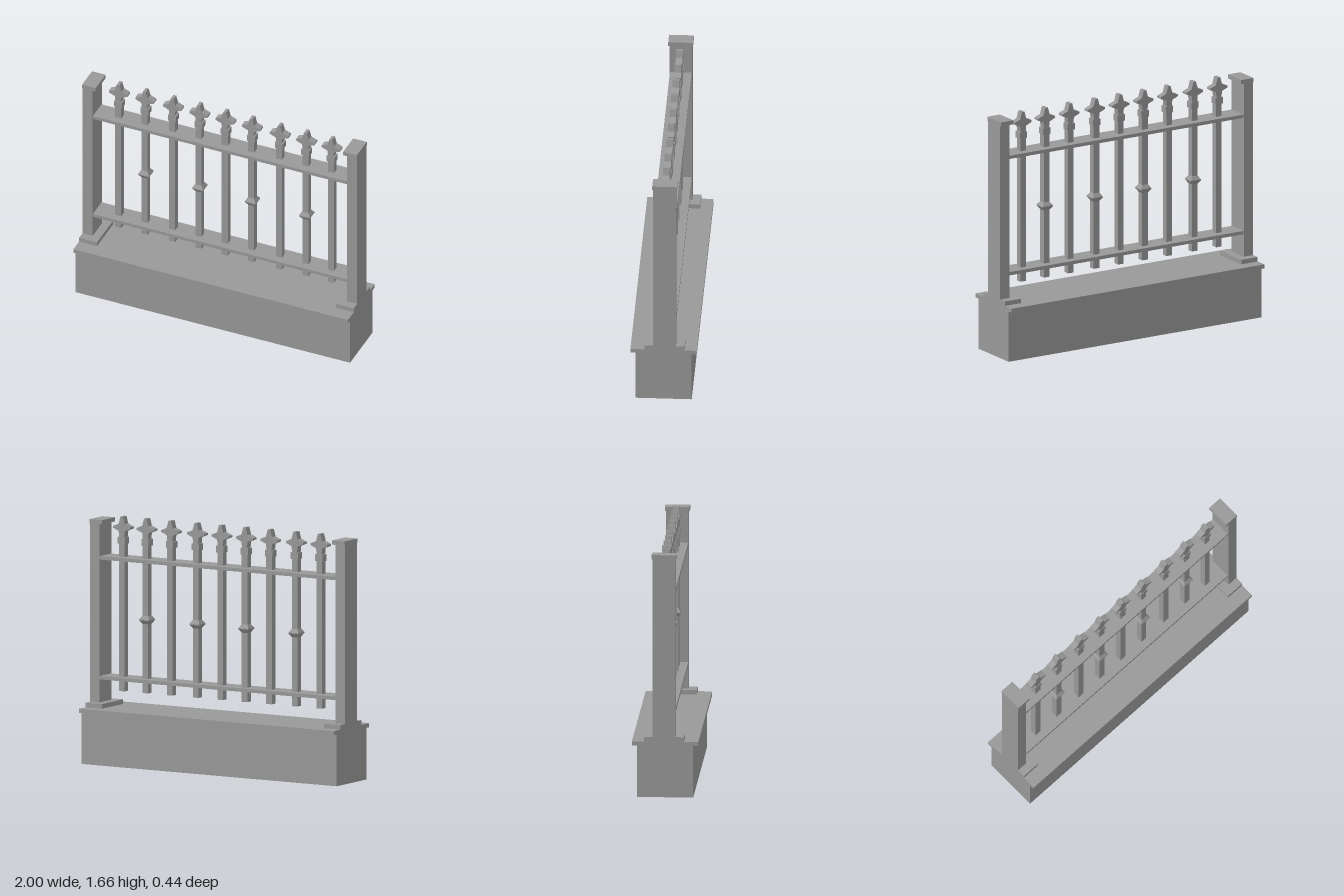
import * as THREE from 'three';

const material = new THREE.MeshStandardMaterial({ color: 0x999999, flatShading: true });
const openMaterial = new THREE.MeshStandardMaterial({ color: 0x999999, flatShading: true, side: THREE.DoubleSide });

function add(parent, name, geometry, mat = material) {
  const mesh = new THREE.Mesh(geometry, mat);
  mesh.name = name;
  parent.add(mesh);
  return mesh;
}

// Box given by its limits in x and y, and its half depth in z
function box(parent, name, x0, x1, y0, y1, halfDepth) {
  const mesh = add(parent, name, new THREE.BoxGeometry(x1 - x0, y1 - y0, halfDepth * 2));
  mesh.position.set((x0 + x1) / 2, (y0 + y1) / 2, 0);
  return mesh;
}

// Four-pointed finial with blunt tips, mirrored from its right half
function finialGeometry() {
  const half = [[0.018, 1.515], [0.024, 1.566], [0.067, 1.584], [0.067, 1.597], [0.024, 1.614], [0.01, 1.664]];
  const left = half.map(([x, y]) => [-x, y]).reverse();
  const shape = new THREE.Shape([...half, ...left].map(([x, y]) => new THREE.Vector2(x, y)));
  return new THREE.ExtrudeGeometry(shape, { depth: 0.046, bevelEnabled: false }).translate(0, 0, -0.023);
}

// Square knob with a thin rim around the middle of a picket
function knobGeometry() {
  const profile = [[0.022, 0.953], [0.039, 0.978], [0.039, 0.985], [0.022, 1.01]];
  const points = profile.map(([r, y]) => new THREE.Vector2(r * Math.SQRT2, y));
  return new THREE.LatheGeometry(points, 4).rotateY(Math.PI / 4);
}

export function createModel() {
  const model = new THREE.Group();
  model.name = 'fenceSection';

  // Plinth: four walls open underneath, covered by a slab
  const walls = new THREE.CylinderGeometry(Math.SQRT1_2, Math.SQRT1_2, 1, 4, 1, true).rotateY(Math.PI / 4);
  const plinth = add(model, 'plinthWalls', walls, openMaterial);
  plinth.scale.set(2, 0.348, 0.376);
  plinth.position.y = 0.174;
  box(model, 'plinthSlab', -1, 1, 0.348, 0.376, 0.222);

  const fence = new THREE.Group();
  fence.name = 'fence';
  fence.position.z = -0.007;
  model.add(fence);

  // End posts, mirrored
  for (const side of [-1, 1]) {
    const post = new THREE.Group();
    post.name = side < 0 ? 'rightPost' : 'leftPost';
    const part = (name, inner, y0, y1, halfDepth) =>
      box(post, name, Math.min(side, side * inner), Math.max(side, side * inner), y0, y1, halfDepth);
    part('postFoot', 0.87, 0.376, 0.407, 0.133);
    part('postShaft', 0.926, 0.407, 1.61, 0.076);
    part('postCap', 0.901, 1.61, 1.638, 0.083);
    fence.add(post);
  }

  // Flat rails
  box(fence, 'lowerRail', -0.926, 0.926, 0.562, 0.585, 0.073);
  box(fence, 'upperRail', -0.926, 0.926, 1.37, 1.393, 0.073);

  // Pickets, every second one with a knob
  const finial = finialGeometry();
  const knob = knobGeometry();
  const centres = [-0.764, -0.572, -0.371, -0.179, 0.012, 0.204, 0.407, 0.599, 0.784];
  centres.forEach((x, i) => {
    const picket = new THREE.Group();
    picket.name = 'picket' + (i + 1);
    picket.position.x = x;
    box(picket, 'picketBar', -0.022, 0.022, 0.487, 1.482, 0.022);
    box(picket, 'picketCollar', -0.029, 0.029, 1.48, 1.525, 0.026);
    add(picket, 'finial', finial);
    if (i % 2 === 1) add(picket, 'picketKnob', knob);
    fence.add(picket);
  });

  return model;
}
